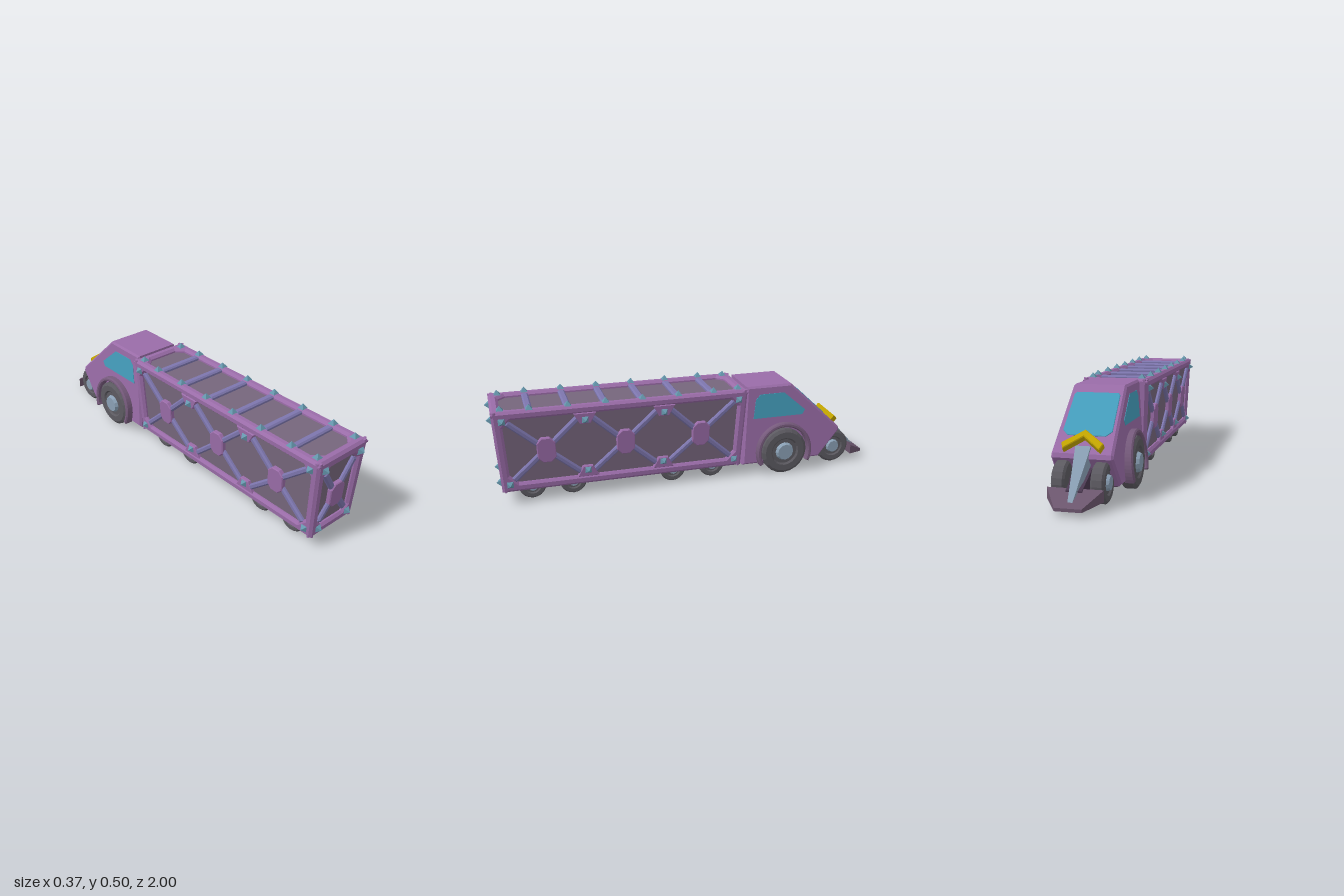
import * as THREE from 'three';

const C = {
  body: 0x9a6ca8, panel: 0x76667c, beam: 0x7d76ae, spike: 0x6596ac, glass: 0x459fbe,
  tyre: 0x5c5a61, hub: 0x8aa0b5, gold: 0xc4a600, fender: 0x765a7c, plow: 0x6c566e, dark: 0x4a3850,
};
const mats = {};
for (const k in C) mats[k] = new THREE.MeshStandardMaterial({ color: C[k], flatShading: true });

const M = () => new THREE.Matrix4();

// Polygon with points [x, y]
function poly(pts) {
  return new THREE.Shape(pts.map(([x, y]) => new THREE.Vector2(x, y)));
}
// Rectangle with cut corners
function octagon(x0, x1, y0, y1, c) {
  return poly([[x0 + c, y0], [x1 - c, y0], [x1, y0 + c], [x1, y1 - c],
    [x1 - c, y1], [x0 + c, y1], [x0, y1 - c], [x0, y0 + c]]);
}
// Bevelled plate whose outer face lies at z = top
function plate(shape, thick, bevel, top = 0) {
  const g = new THREE.ExtrudeGeometry(shape, {
    depth: thick - bevel, bevelEnabled: bevel > 0, bevelSize: bevel, bevelThickness: bevel,
    bevelOffset: -bevel, bevelSegments: 1, curveSegments: 18,
  });
  return g.translate(0, 0, top - thick);
}
// Moves every vertex by a rule
function warp(geo, rule) {
  const p = geo.attributes.position, v = new THREE.Vector3();
  for (let i = 0; i < p.count; i++) {
    v.fromBufferAttribute(p, i);
    rule(v);
    p.setXYZ(i, v.x, v.y, v.z);
  }
  geo.computeVertexNormals();
  return geo;
}
function add(parent, name, geo, mat) {
  const m = new THREE.Mesh(geo, mats[mat]);
  m.name = name;
  parent.add(m);
  return m;
}
// Six-sided block between two upright rectangles: [z, halfWidth, yLow, yHigh]
function block(back, front) {
  return warp(new THREE.BoxGeometry(2, 2, 2), v => {
    const s = v.z > 0 ? back : front;
    v.set(v.x * s[1], v.y > 0 ? s[3] : s[2], s[0]);
  });
}

// ---------- Trailer ----------
const MID_Y = 0.2725, MID_Z = 0.35, HW = 0.15, HH = 0.2075, HL = 0.62;

// The trailer widens towards the top
function taper(v) {
  const t = (v.y - 0.065) / 0.415;
  v.x *= 0.94 + 0.13 * t;
  v.z = MID_Z + (v.z - MID_Z) * (0.976 + 0.04 * t);
}

function makeTrailer() {
  const g = new THREE.Group();
  g.name = 'trailer';
  const put = (name, geo, mat, m) => add(g, name, warp(geo.applyMatrix4(m), taper), mat);
  put('innerPanels', new THREE.BoxGeometry(0.26, 0.395, 1.2), 'panel', M().makeTranslation(0, 0.2625, MID_Z));
  put('floor', new THREE.BoxGeometry(0.262, 0.01, 1.202), 'dark', M().makeTranslation(0, 0.069, MID_Z));

  const frame = (m, w, h, hole) => {
    const s = poly([[-w, -h], [w, -h], [w, h], [-w, h]]);
    s.holes.push(hole);
    put('frame', plate(s, 0.02, 0.012), 'body', m);
  };
  const spike = (m, u, v) => {
    const s = new THREE.ConeGeometry(0.023, 0.024, 4).rotateY(Math.PI / 4).rotateX(Math.PI / 2);
    put('spike', s.translate(u, v, 0.011), 'spike', m);
  };
  const beam = (m, u0, v0, u1, v1, w) => {
    const len = Math.hypot(u1 - u0, v1 - v0);
    const b = plate(poly([[0, -w], [len, -w], [len, w], [0, w]]), 0.018, 0.007, -0.003);
    b.rotateZ(Math.atan2(v1 - v0, u1 - u0)).translate(u0, v0, 0);
    put('beam', b, 'beam', m);
  };
  const cross = (m, u, v, ends, w) => {
    for (const [a, b] of ends) beam(m, u, v, a, b, w);
    put('crossHub', plate(octagon(u - 0.045, u + 0.045, v - 0.063, v + 0.063, 0.025), 0.022, 0.004, 0.002), 'body', m);
  };

  // End faces
  for (const s of [1, -1]) {
    const m = M().makeRotationY(s > 0 ? 0 : Math.PI).setPosition(0, MID_Y, MID_Z + s * HL);
    frame(m, HW, HH, octagon(-0.103, 0.103, -0.162, 0.155, 0.03));
    cross(m, 0, -0.022, [[0.093, 0.13], [-0.093, 0.13], [0.088, -0.143], [-0.088, -0.143]], 0.015);
    if (s > 0) for (const k of [1, -1]) {
      spike(m, k * 0.109, 0.16);
      spike(m, k * 0.102, -0.167);
    }
  }
  // Long sides
  for (const s of [1, -1]) {
    const m = M().makeRotationY(s * Math.PI / 2).setPosition(s * HW, MID_Y, MID_Z);
    frame(m, HL, HH, octagon(-0.575, 0.575, -0.163, 0.163, 0.04));
    for (const u of [-0.387, 0, 0.387]) {
      const e = [];
      for (const a of [1, -1]) for (const b of [1, -1]) e.push([u + a * 0.17, b * 0.15]);
      cross(m, u, -0.005, e, 0.014);
    }
    for (const k of [1, -1]) {
      for (const u of [-0.193, 0.193]) {
        const tab = poly([[u - 0.055, -0.168], [u + 0.055, -0.168], [u + 0.025, -0.112], [u - 0.025, -0.112]]);
        const geo = plate(tab, 0.02, 0.004);
        put('gusset', k < 0 ? geo : geo.rotateZ(Math.PI).translate(2 * u, 0, 0), 'body', m);
        spike(m, u, k * 0.133);
      }
      spike(m, k * 0.575, 0.16);
      spike(m, k * 0.578, -0.167);
    }
  }
  // Roof
  const roof = M().makeRotationX(-Math.PI / 2).setPosition(0, MID_Y + HH, MID_Z);
  frame(roof, HW, HL, octagon(-0.108, 0.108, -0.575, 0.575, 0.035));
  for (let i = 0; i < 6; i++) {
    const v = -0.445 + i * 0.178;
    beam(roof, -0.112, v, 0.112, v, 0.017);
    for (const k of [1, -1]) spike(roof, k * 0.127, v);
  }
  for (const a of [1, -1]) for (const b of [1, -1]) spike(roof, a * 0.114, b * 0.575);
  return g;
}

// ---------- Wheels ----------
function addWheel(parent, name, side, x, y, z, r, w) {
  const g = new THREE.Group();
  g.name = name;
  const prof = [[0, -w], [0.88 * r, -w], [r, -0.7 * w], [r, 0.7 * w], [0.88 * r, w],
    [0.62 * r, w], [0.55 * r, 0.75 * w], [0, 0.75 * w]].map(p => new THREE.Vector2(...p));
  add(g, 'tyre', new THREE.LatheGeometry(prof, 20), 'tyre');
  add(g, 'hub', new THREE.CylinderGeometry(0.34 * r, 0.42 * r, 0.6 * w, 12).translate(0, 0.95 * w, 0), 'hub');
  g.rotation.z = -side * Math.PI / 2;
  g.position.set(side * x, y, z);
  parent.add(g);
}

// ---------- Cab ----------
function makeCab() {
  const g = new THREE.Group();
  g.name = 'cab';
  // Profiles are drawn as [-z, y]; the cab narrows towards the roof
  const across = (pts, width, bevel) => warp(
    plate(poly(pts), width - bevel, bevel, width / 2).rotateY(Math.PI / 2),
    v => { v.x *= (0.147 - 0.05 * v.y) / 0.135; });
  add(g, 'cabBody', across([[0.265, 0.062], [0.7, 0.062], [0.815, 0.2], [0.81, 0.22], [0.53, 0.48], [0.287, 0.48]], 0.27, 0.01), 'body');
  add(g, 'sideWindows', across([[0.323, 0.31], [0.595, 0.31], [0.61, 0.335], [0.49, 0.437], [0.36, 0.437], [0.335, 0.41]], 0.274, 0), 'glass');
  add(g, 'cabUnderside', new THREE.BoxGeometry(0.24, 0.012, 0.42).translate(0, 0.062, -0.485), 'dark');
  add(g, 'coupling', new THREE.BoxGeometry(0.18, 0.3, 0.07).translate(0, 0.26, -0.275), 'dark');

  // Parts on the sloping front: local y runs up the slope, local z points out of it
  const slope = M().makeBasis(new THREE.Vector3(-1, 0, 0), new THREE.Vector3(0, 0.68, 0.733),
    new THREE.Vector3(0, 0.733, -0.68)).setPosition(0, 0.48, -0.53);
  const pane = poly([[-0.085, -0.288], [0.085, -0.288], [0.11, -0.262], [0.105, -0.06], [0.095, -0.048],
    [-0.095, -0.048], [-0.105, -0.06], [-0.11, -0.262]]);
  add(g, 'windscreen', plate(pane, 0.01, 0.002, 0.003).applyMatrix4(slope), 'glass');
  const chevron = poly([[0, -0.275], [0.092, -0.345], [0.08, -0.378], [0, -0.312], [-0.08, -0.378], [-0.092, -0.345]]);
  add(g, 'chevron', plate(chevron, 0.04, 0.004, 0.03).applyMatrix4(slope), 'gold');

  // Wheel arches flare out towards the ground
  const arch = new THREE.Shape();
  arch.absarc(0.49, 0.125, 0.152, -0.45, Math.PI + 0.45, false);
  arch.absarc(0.49, 0.125, 0.13, Math.PI + 0.45, -0.45, true);
  for (const s of [1, -1]) {
    const geo = plate(arch, 0.045, 0.006, s > 0 ? 0.158 : -0.113).rotateY(Math.PI / 2);
    add(g, 'wheelArch', warp(geo, v => { v.x += s * 0.1 * (0.275 - v.y); }), 'fender');
    addWheel(g, 'driveWheel', s, 0.138, 0.125, -0.49, 0.122, 0.034);
    addWheel(g, 'noseWheel', s, 0.085, 0.1, -0.795, 0.09, 0.03);
  }
  for (const [y, z, w] of [[0.125, -0.49, 0.24], [0.1, -0.795, 0.16]]) {
    add(g, 'axle', new THREE.CylinderGeometry(0.02, 0.02, w, 8).rotateZ(Math.PI / 2).translate(0, y, z), 'dark');
  }

  // Nose ram
  add(g, 'noseBeam', block([-0.68, 0.04, 0.07, 0.2], [-0.92, 0.035, 0.04, 0.09]), 'dark');
  add(g, 'ridge', block([-0.79, 0.034, 0.17, 0.25], [-0.975, 0.01, 0.03, 0.05]), 'hub');
  add(g, 'plow', block([-0.9, 0.122, 0.045, 0.095], [-1, 0.058, 0.024, 0.038]), 'plow');
  return g;
}

export function createModel() {
  const model = new THREE.Group();
  model.name = 'armouredTruck';
  model.add(makeTrailer(), makeCab());
  // Trailer wheels
  for (const z of [0.81, 0.61, 0.1, -0.11]) {
    for (const s of [1, -1]) addWheel(model, 'trailerWheel', s, 0.073, 0.07, z, 0.066, 0.033);
  }
  return model;
}
